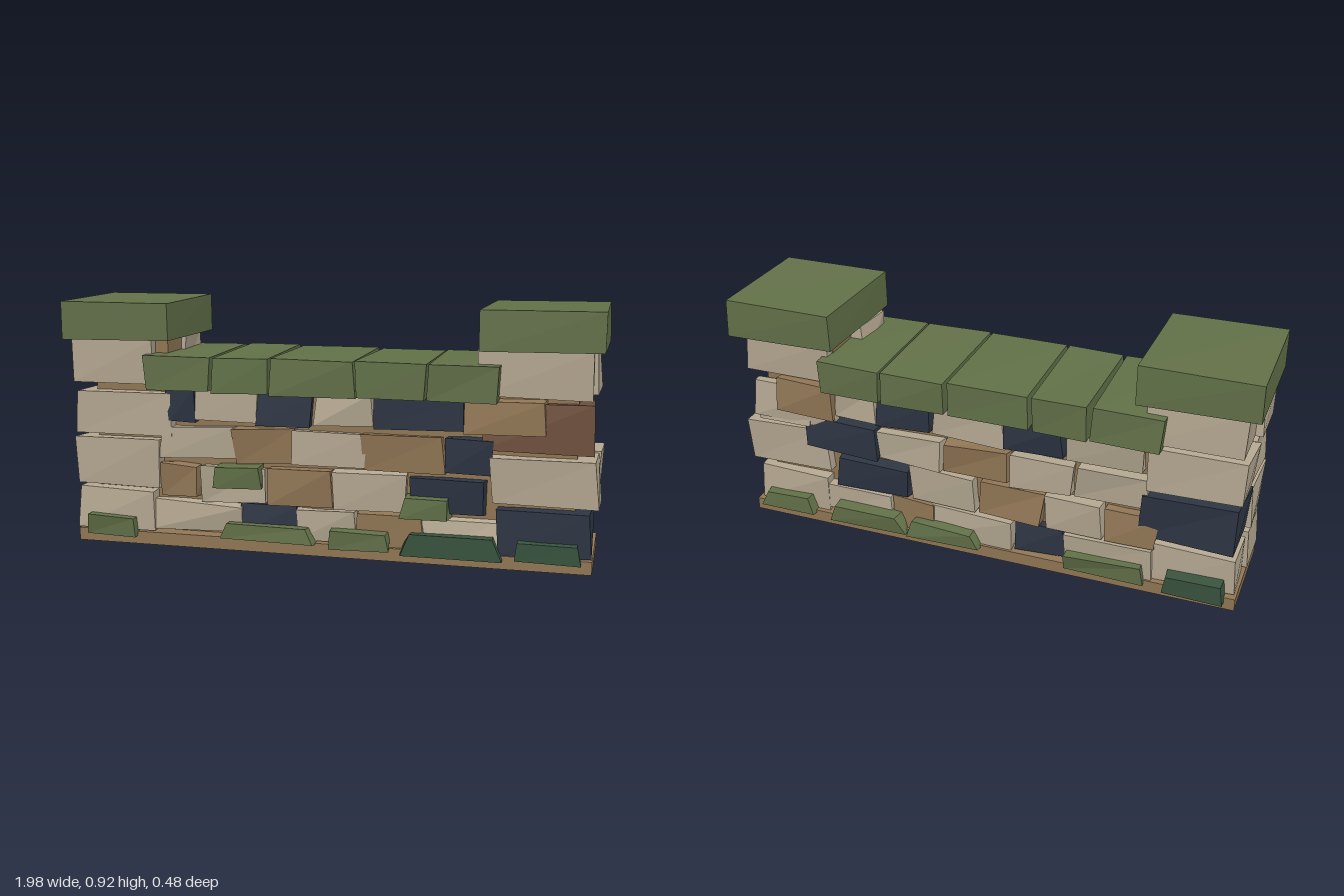
import * as THREE from 'three';

export function createModel() {
  const wall = new THREE.Group();
  wall.name = 'stoneWall';

  const mat = (name, color) => {
    const m = new THREE.MeshStandardMaterial({ color });
    m.name = name;
    return m;
  };
  const C = mat('cream stone', 0xb9ac95);
  const B = mat('brown stone', 0x947957);
  const R = mat('red brown stone', 0x70513d);
  const N = mat('slate stone', 0x2f3745);
  const G = mat('moss green', 0x64734a);
  const D = mat('dark moss', 0x3b5640);

  let seed = 7;
  const rand = () => {
    seed = (seed * 16807) % 2147483647;
    return (seed / 2147483647) * 2 - 1;
  };

  // A rough-hewn block: each of the eight corners is nudged, the top may be narrower
  function block(name, m, [x0, x1], [y0, y1], [z0, z1], rough = 0.01, taper = 0) {
    const geo = new THREE.BoxGeometry(1, 1, 1).toNonIndexed();
    const p = geo.attributes.position;
    const nudges = Array.from({ length: 8 }, () => [rand() * rough, rand() * rough * 0.7, rand() * rough]);
    for (let i = 0; i < p.count; i++) {
      const a = p.getX(i) > 0 ? 1 : 0, b = p.getY(i) > 0 ? 1 : 0, c = p.getZ(i) > 0 ? 1 : 0;
      const n = nudges[a + 2 * b + 4 * c];
      const inset = b * taper * (a ? -1 : 1);
      p.setXYZ(i, (a ? x1 : x0) + inset + n[0], (b ? y1 : y0) + n[1], (c ? z1 : z0) + n[2]);
    }
    geo.computeVertexNormals();
    const mesh = new THREE.Mesh(geo, m);
    mesh.name = name;
    wall.add(mesh);
  }

  // Plinth and mortar cores
  block('base', B, [-0.965, 0.965], [0, 0.048], [-0.2, 0.2], 0);
  block('wallCore', B, [-0.9, 0.9], [0.04, 0.62], [-0.14, 0.14], 0);
  for (const s of [-1, 1])
    block('pillarCore', B, s < 0 ? [-0.9, -0.61] : [0.61, 0.9], [0.5, 0.79], [-0.14, 0.14], 0);

  // Facing stones: [material, x from, x to, y from, y to]
  const front = [
    [C, -0.68, -0.31, 0.06, 0.17], [N, -0.31, -0.11, 0.06, 0.17], [C, -0.11, 0.12, 0.05, 0.165],
    [B, 0.12, 0.37, 0.05, 0.17], [C, 0.37, 0.64, 0.06, 0.165],
    [B, -0.63, -0.48, 0.19, 0.31], [C, -0.47, -0.23, 0.18, 0.31], [B, -0.21, 0.02, 0.18, 0.31],
    [C, 0.03, 0.3, 0.18, 0.32], [N, 0.31, 0.59, 0.18, 0.31],
    [C, -0.63, -0.34, 0.34, 0.46], [B, -0.34, -0.12, 0.33, 0.46], [C, -0.12, 0.15, 0.33, 0.455],
    [B, 0.15, 0.44, 0.33, 0.455], [N, 0.45, 0.61, 0.33, 0.455],
    [N, -0.6, -0.5, 0.48, 0.6], [C, -0.5, -0.25, 0.48, 0.6], [N, -0.25, -0.05, 0.48, 0.6],
    [C, -0.04, 0.18, 0.48, 0.6], [N, 0.18, 0.5, 0.48, 0.595],
  ];
  const back = [
    [C, 0.37, 0.66, 0.06, 0.17], [B, 0.2, 0.37, 0.05, 0.17], [C, -0.12, 0.2, 0.05, 0.165],
    [N, -0.32, -0.12, 0.06, 0.17], [C, -0.66, -0.32, 0.05, 0.17],
    [N, 0.3, 0.6, 0.18, 0.31], [C, 0.03, 0.29, 0.18, 0.32], [B, -0.23, 0.02, 0.18, 0.31],
    [C, -0.46, -0.24, 0.18, 0.31], [B, -0.66, -0.47, 0.18, 0.31],
    [N, 0.43, 0.72, 0.33, 0.455], [C, 0.16, 0.42, 0.33, 0.45], [B, -0.1, 0.15, 0.33, 0.455],
    [C, -0.35, -0.11, 0.33, 0.455], [C, -0.63, -0.36, 0.34, 0.46],
    [C, 0.43, 0.6, 0.48, 0.6], [N, 0.2, 0.42, 0.48, 0.6], [C, -0.08, 0.19, 0.48, 0.6],
    [N, -0.3, -0.09, 0.48, 0.6], [C, -0.6, -0.31, 0.48, 0.6],
  ];
  for (const [m, x0, x1, y0, y1] of front) block('frontStone', m, [x0, x1], [y0, y1], [0.08, 0.185], 0.012);
  for (const [m, x0, x1, y0, y1] of back) block('backStone', m, [x0, x1], [y0, y1], [-0.185, -0.08], 0.012);

  // Pillar corner stones: [material, x from, x to, y from, y to, z from, z to]
  const corners = [
    [C, -0.965, -0.66, 0.05, 0.205, 0.005, 0.19], [C, -0.96, -0.63, 0.225, 0.4, 0.005, 0.195],
    [C, -0.96, -0.59, 0.42, 0.58, 0.005, 0.19], [C, -0.97, -0.66, 0.61, 0.78, 0.005, 0.185],
    [C, -0.95, -0.65, 0.05, 0.2, -0.18, -0.005], [N, -0.95, -0.6, 0.225, 0.4, -0.19, -0.005],
    [C, -0.96, -0.62, 0.42, 0.59, -0.19, -0.005], [C, -0.95, -0.6, 0.61, 0.78, -0.185, -0.005],
    [N, 0.63, 0.955, 0.05, 0.21, 0.005, 0.195], [C, 0.61, 0.975, 0.23, 0.4, 0.005, 0.2],
    [R, 0.58, 0.95, 0.42, 0.59, 0.005, 0.18], [C, 0.56, 0.94, 0.61, 0.78, 0.005, 0.175],
    [C, 0.65, 0.95, 0.05, 0.2, -0.18, -0.01], [C, 0.64, 0.975, 0.23, 0.4, -0.185, -0.005],
    [C, 0.6, 0.93, 0.43, 0.58, -0.19, -0.14], [C, 0.7, 0.93, 0.42, 0.48, -0.185, -0.02],
    [C, 0.62, 0.96, 0.61, 0.78, -0.175, -0.01],
  ];
  for (const [m, x0, x1, y0, y1, z0, z1] of corners) block('pillarStone', m, [x0, x1], [y0, y1], [z0, z1], 0.01);
  block('pillarBrownStone', B, [0.5, 0.79], [0.475, 0.6], [0.08, 0.19], 0.012);
  block('pillarBrownStone', B, [0.6, 0.84], [0.475, 0.6], [-0.2, -0.1], 0.012);
  block('pillarBrownEnd', B, [0.8, 0.915], [0.62, 0.78], [0.005, 0.14], 0.008);

  // Coping stones along the wall and caps on the pillars
  for (const [x0, x1] of [[-0.67, -0.42], [-0.405, -0.2], [-0.19, 0.12], [0.13, 0.375], [0.385, 0.63]])
    block('copingStone', G, [x0, x1], [0.595, 0.725], [-0.23, 0.232], 0.007);
  block('pillarCap', G, [-0.995, -0.575], [0.778, 0.917], [-0.24, 0.232], 0.004);
  block('pillarCap', G, [0.565, 0.99], [0.778, 0.917], [-0.24, 0.232], 0.005);

  // Moss clumps: [material, x from, x to, y from, y to, taper]
  const mossFront = [
    [G, -0.92, -0.73, 0.035, 0.108, 0.005], [G, -0.395, -0.03, 0.045, 0.105, 0.03],
    [G, 0.03, 0.245, 0.04, 0.105, 0.005], [D, 0.285, 0.655, 0.032, 0.11, 0.035],
    [D, 0.7, 0.925, 0.04, 0.108, 0.01], [G, -0.41, -0.23, 0.245, 0.32, 0.005],
    [G, 0.29, 0.465, 0.167, 0.24, 0.01],
  ];
  const mossBack = [
    [G, 0.7, 0.93, 0.04, 0.105, 0.02], [G, 0.31, 0.63, 0.035, 0.108, 0.03],
    [G, 0, 0.3, 0.04, 0.105, 0.03], [G, -0.63, -0.33, 0.04, 0.105, 0.01],
    [D, -0.93, -0.7, 0.035, 0.108, 0.01],
  ];
  for (const [m, x0, x1, y0, y1, t] of mossFront) block('frontMoss', m, [x0, x1], [y0, y1], [0.15, 0.23], 0.008, t);
  for (const [m, x0, x1, y0, y1, t] of mossBack) block('backMoss', m, [x0, x1], [y0, y1], [-0.228, -0.15], 0.008, t);

  return wall;
}
